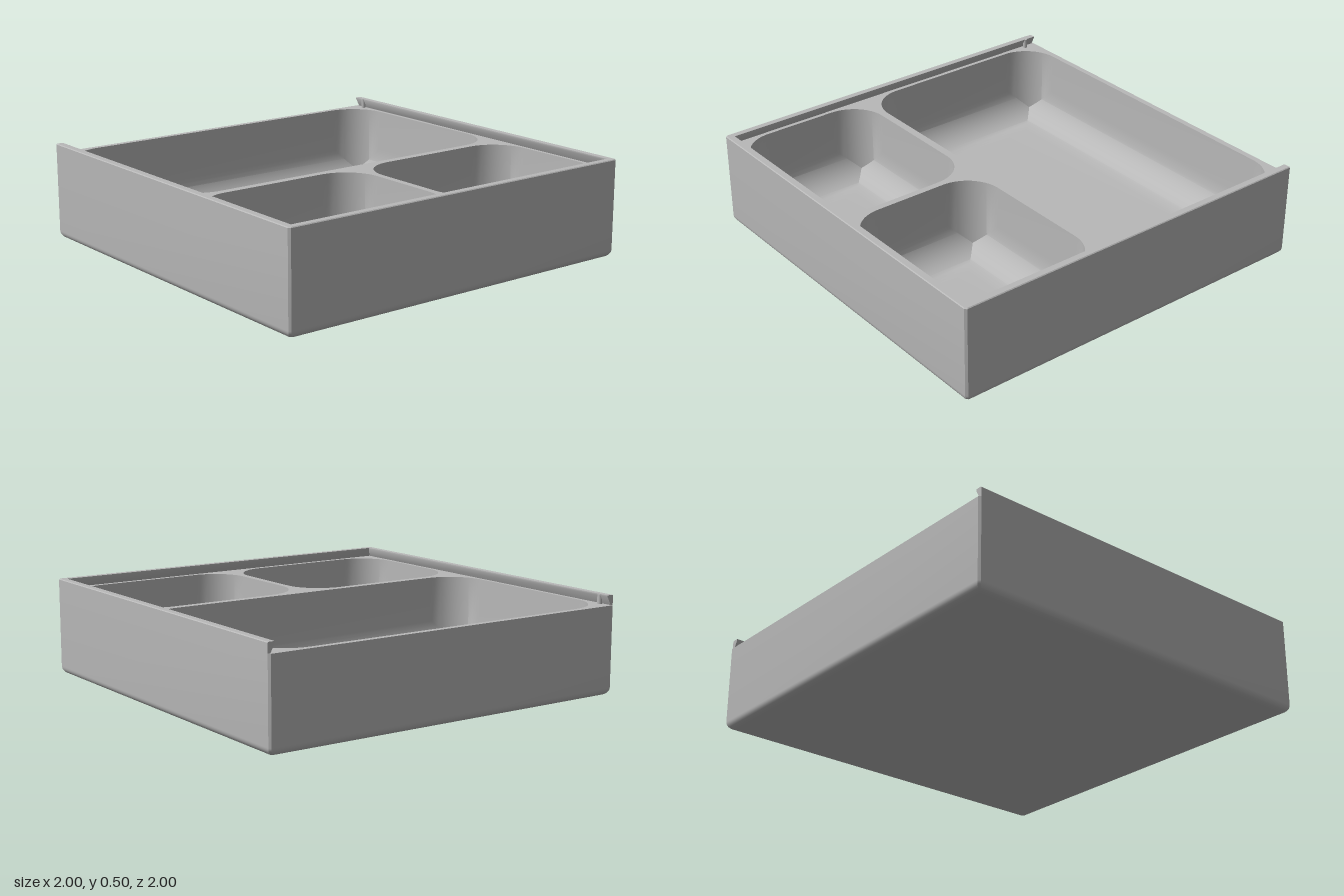
import * as THREE from 'three';
import { toCreasedNormals } from 'three/addons/utils/BufferGeometryUtils.js';

const DECK = 0.45, TOP = 0.5, FLOOR = 0.04;
const STEPS = 16, POCKET_R = 0.19, BASE_R = 0.04, CHAMFER = 0.01;

const grey = new THREE.MeshStandardMaterial({ color: 0xb8b8b8 });
grey.name = 'grey plastic';

// Triangle collector; points are [x, y, z]
class Faces {
  constructor() { this.p = []; }
  quad(a, b, c, d) { this.p.push(...a, ...b, ...c, ...a, ...c, ...d); }
  // skin between consecutive rows of points
  loft(rows, closed) {
    for (let k = 0; k + 1 < rows.length; k++) {
      const r0 = rows[k], r1 = rows[k + 1], n = r0.length;
      for (let j = 0; j < (closed ? n : n - 1); j++) {
        const m = (j + 1) % n;
        this.quad(r0[j], r0[m], r1[m], r1[j]);
      }
    }
  }
  mesh(name) {
    const g = new THREE.BufferGeometry();
    g.setAttribute('position', new THREE.Float32BufferAttribute(this.p, 3));
    const m = new THREE.Mesh(toCreasedNormals(g, 0.5), grey);
    m.name = name;
    return m;
  }
}

// Square outline with small corner chamfers, inset by i, at height y
function squareRing(i, y) {
  const o = 1 - i, c = o - CHAMFER;
  return [[-c, o], [c, o], [o, c], [o, -c], [c, -o], [-c, -o], [-o, -c], [-o, c]]
    .map(([x, z]) => [x, y, z]);
}

// Outer walls and base with a rounded bottom edge
function outerShell() {
  const f = new Faces(), rows = [];
  for (let k = 0; k <= 8; k++) {
    const a = (k / 8) * Math.PI / 2;
    rows.push(squareRing(BASE_R * (1 - Math.sin(a)), BASE_R * (1 - Math.cos(a))));
  }
  rows.push(squareRing(0, DECK));
  f.loft(rows, true);
  const b = rows[0];
  f.quad(b[3], b[2], b[7], b[6]);
  f.quad(b[2], b[1], b[0], b[7]);
  f.quad(b[6], b[5], b[4], b[3]);
  return f.mesh('outerShell');
}

// Rounded outline of a pocket: x, z and the height where its wall meets the floor
function pocketOutline({ x0, x1, z0, z1 }) {
  const r = POCKET_R, pts = [];
  const corners = [[x0, 1, z1, -1, 0], [x1, -1, z1, -1, 1], [x1, -1, z0, 1, 0], [x0, 1, z0, 1, 1]];
  for (const [x, sx, z, sz, flip] of corners) {
    for (let i = 0; i <= STEPS; i++) {
      const a = ((flip ? STEPS - i : i) / STEPS) * Math.PI / 2;
      const dx = r * (1 - Math.cos(a)), dz = r * (1 - Math.sin(a));
      pts.push({ x: x + sx * dx, z: z + sz * dz, h: FLOOR + Math.max(dx, dz) });
    }
  }
  return pts;
}

// Pocket: rounded upright wall, four mitred floor fillets and a flat floor
function pocket(box, name) {
  const f = new Faces(), r = POCKET_R, { x0, x1, z0, z1 } = box;
  const o = pocketOutline(box);
  f.loft([o.map(p => [p.x, DECK, p.z]), o.map(p => [p.x, p.h, p.z])], true);
  const sides = [[], [], [], []];
  for (let i = 0; i <= STEPS; i++) {
    const a = (i / STEPS) * Math.PI / 2;
    const d = r * (1 - Math.cos(a)), h = r * (1 - Math.sin(a));
    const e = Math.max(d, h), y = FLOOR + h;
    sides[0].push([[x0 + e, y, z1 - d], [x1 - e, y, z1 - d]]);
    sides[1].push([[x1 - d, y, z1 - e], [x1 - d, y, z0 + e]]);
    sides[2].push([[x1 - e, y, z0 + d], [x0 + e, y, z0 + d]]);
    sides[3].push([[x0 + d, y, z0 + e], [x0 + d, y, z1 - e]]);
  }
  sides.forEach(s => f.loft(s, false));
  f.quad(...sides.map(s => s[STEPS][0]));
  return f.mesh(name);
}

// Flat deck pierced by the pockets
function deck(boxes) {
  const toShape = ([x, , z]) => new THREE.Vector2(x, -z);
  const shape = new THREE.Shape(squareRing(0, 0).map(toShape));
  for (const b of boxes) {
    shape.holes.push(new THREE.Path(pocketOutline(b).map(p => new THREE.Vector2(p.x, -p.z))));
  }
  const m = new THREE.Mesh(new THREE.ShapeGeometry(shape).rotateX(-Math.PI / 2).translate(0, DECK, 0), grey);
  m.name = 'deck';
  return m;
}

// Undercut rim on three sides that guides a sliding lid; open at the back
function lidRail() {
  const f = new Faces();
  const profile = [[0, DECK], [0, TOP - 0.004], [0.004, TOP], [0.036, TOP], [0.036, TOP - 0.008], [0.014, DECK]];
  const rows = profile.map(([i, y]) => {
    const o = 1 - i, c = o - (i < 0.01 ? CHAMFER : 0), back = -1 + CHAMFER;
    return [[-o, back], [-o, c], [-c, o], [c, o], [o, c], [o, back]].map(([x, z]) => [x, y, z]);
  });
  f.loft(rows, false);
  // end caps
  const l = rows.map(r => r[0]), q = rows.map(r => r[5]);
  f.quad(l[0], l[1], l[2], l[5]);
  f.quad(l[2], l[3], l[4], l[5]);
  f.quad(q[5], q[2], q[1], q[0]);
  f.quad(q[5], q[4], q[3], q[2]);
  return f.mesh('lidRail');
}

export function createModel() {
  const group = new THREE.Group();
  group.name = 'compartmentTray';
  const large = { x0: -0.965, x1: 0.965, z0: -0.97, z1: 0.157 };
  const right = { x0: -0.965, x1: -0.017, z0: 0.197, z1: 0.96 };
  const left = { x0: 0.017, x1: 0.965, z0: 0.197, z1: 0.96 };
  group.add(
    outerShell(), deck([large, right, left]), lidRail(),
    pocket(large, 'largePocket'), pocket(right, 'rightPocket'), pocket(left, 'leftPocket'),
  );
  // small catches near the open ends of the rail
  for (const s of [-1, 1]) {
    const nub = new THREE.Mesh(new THREE.CylinderGeometry(0.012, 0.012, TOP - DECK - 0.002, 16), grey);
    nub.position.set(s * 0.97, (TOP + DECK) / 2 - 0.001, -0.93);
    nub.name = s > 0 ? 'leftCatch' : 'rightCatch';
    group.add(nub);
  }
  return group;
}
